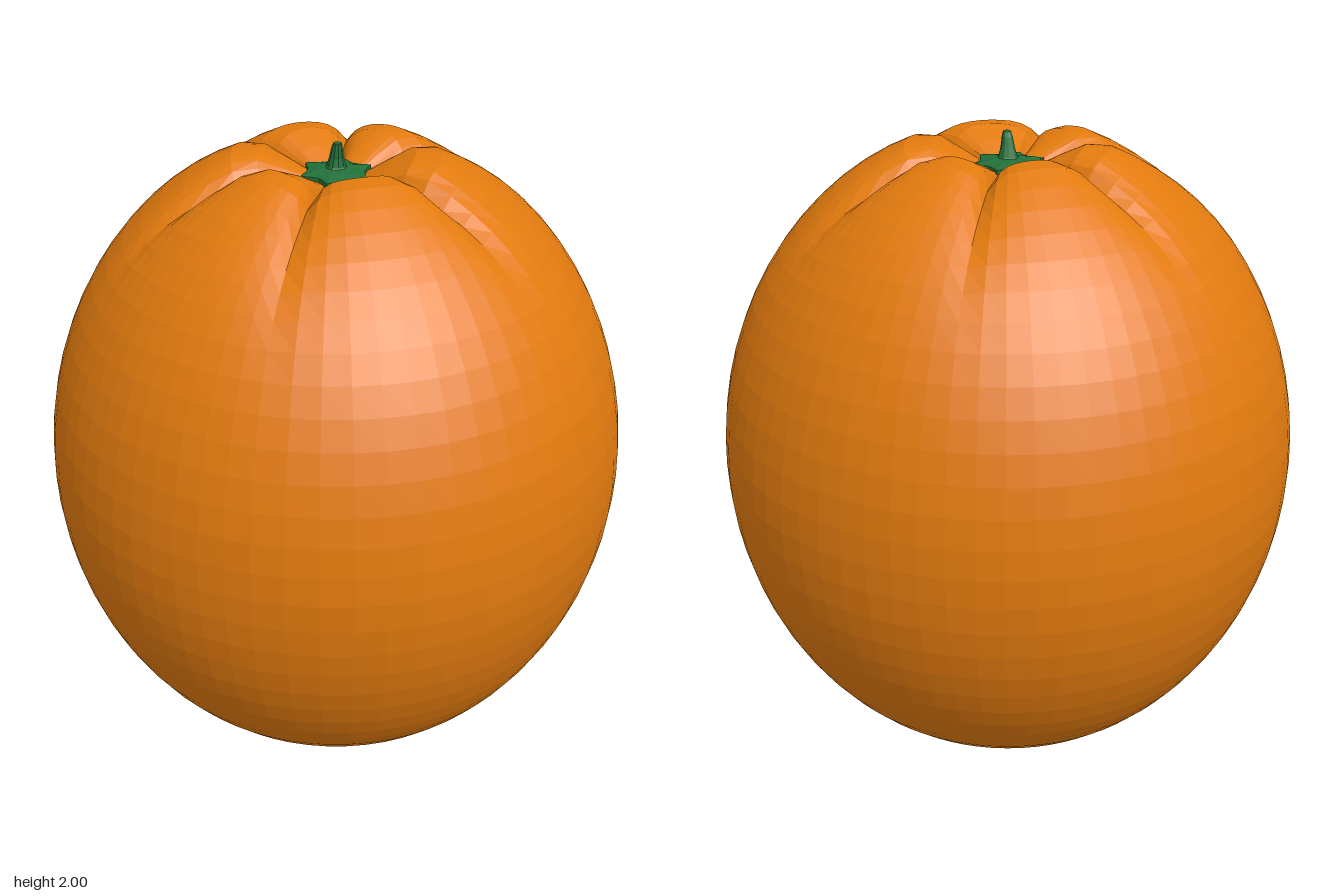
import * as THREE from 'three';

const rad = THREE.MathUtils.degToRad;
const smooth = THREE.MathUtils.smoothstep;

// Directions of the six creases, seen from above (0 = +x, 90 = +z)
const creases = [23, 90, 157, 212, 270, 328].map(rad);

// Faceted copy of a geometry
function facet(geometry) {
  const g = geometry.toNonIndexed();
  g.computeVertexNormals();
  return g;
}

// Skin height at the polar angle t (0 = top) and direction a
function skinPoint(t, a) {
  const r = 0.88 * Math.sin(t);
  let y = 1.015 + 1.01 * Math.cos(t);
  if (t < Math.PI / 2) {
    const gap = Math.min(...creases.map((c) => Math.abs(Math.atan2(Math.sin(a - c), Math.cos(a - c)))));
    const reach = smooth(r, 0.02, 0.2) * (1 - smooth(r, 0.25, 0.76));
    y -= 0.15 * (1 - smooth(r, 0, 0.3)); // hollow round the stalk
    y -= 0.065 * reach * Math.exp(-gap / 0.13); // pinched crease
  }
  return [r * Math.cos(a), Math.max(y, 0), r * Math.sin(a)];
}

function skinGeometry() {
  // Columns line up with the creases
  const angles = [];
  creases.forEach((start, i) => {
    const end = i < 5 ? creases[i + 1] : creases[0] + Math.PI * 2;
    for (let k = 0; k < 11; k++) angles.push(start + ((end - start) * k) / 11);
  });
  const rings = 36, n = angles.length;
  const positions = [], index = [];
  for (let i = 0; i <= rings; i++) {
    for (const a of angles) positions.push(...skinPoint((Math.PI * i) / rings, a));
  }
  for (let i = 0; i < rings; i++) {
    for (let j = 0; j < n; j++) {
      const a = i * n + j, b = i * n + ((j + 1) % n);
      if (i > 0) index.push(a, b, a + n);
      if (i < rings - 1) index.push(b, b + n, a + n);
    }
  }
  const g = new THREE.BufferGeometry();
  g.setAttribute('position', new THREE.Float32BufferAttribute(positions, 3));
  g.setIndex(index);
  return facet(g);
}

// Six-pointed leaf star, domed towards the stalk
function calyxGeometry() {
  const n = 24;
  const rings = [[0, 1.918], [0.35, 1.922], [0.7, 1.917], [1, 1.91], [1, 1.885], [0, 1.88]];
  const tips = [25, 90, 155, 207, 270, 333].map(rad);
  const positions = [], index = [];
  for (const [s, y] of rings) {
    for (let j = 0; j < n; j++) {
      const k = Math.floor(j / 4), f = (j % 4) / 4;
      const end = k < 5 ? tips[k + 1] : tips[0] + Math.PI * 2;
      const a = tips[k] + (end - tips[k]) * f;
      const r = s * [0.113, 0.09, 0.082, 0.09][j % 4];
      positions.push(r * Math.cos(a), y, r * Math.sin(a));
    }
  }
  for (let i = 0; i < rings.length - 1; i++) {
    for (let j = 0; j < n; j++) {
      const a = i * n + j, b = i * n + ((j + 1) % n);
      if (i > 0) index.push(a, b, a + n);
      if (i < rings.length - 2) index.push(b, b + n, a + n);
    }
  }
  const g = new THREE.BufferGeometry();
  g.setAttribute('position', new THREE.Float32BufferAttribute(positions, 3));
  g.setIndex(index);
  return facet(g);
}

// Short tapered stalk with a slight lean
function stalkGeometry() {
  const profile = [[0.04, 0], [0.028, 0.015], [0.021, 0.04], [0.016, 0.07], [0.012, 0.085], [0, 0.09]];
  const g = new THREE.LatheGeometry(profile.map(([r, y]) => new THREE.Vector2(r, y)), 10);
  const p = g.attributes.position;
  for (let i = 0; i < p.count; i++) {
    const lean = (p.getY(i) / 0.09) ** 2;
    p.setX(i, p.getX(i) - 0.006 * lean);
    p.setZ(i, p.getZ(i) + 0.01 * lean);
  }
  return facet(g);
}

export function createModel() {
  const orange = new THREE.MeshStandardMaterial({ color: 0xe27a0e });
  orange.name = 'orange peel';
  const green = new THREE.MeshStandardMaterial({ color: 0x22703a });
  green.name = 'leaf green';

  const model = new THREE.Group();
  model.name = 'orangeFruit';
  const add = (name, geometry, material) => {
    const mesh = new THREE.Mesh(geometry, material);
    mesh.name = name;
    model.add(mesh);
    return mesh;
  };
  add('peel', skinGeometry(), orange);
  add('calyx', calyxGeometry(), green);
  add('stalk', stalkGeometry(), green).position.y = 1.91;
  return model;
}
